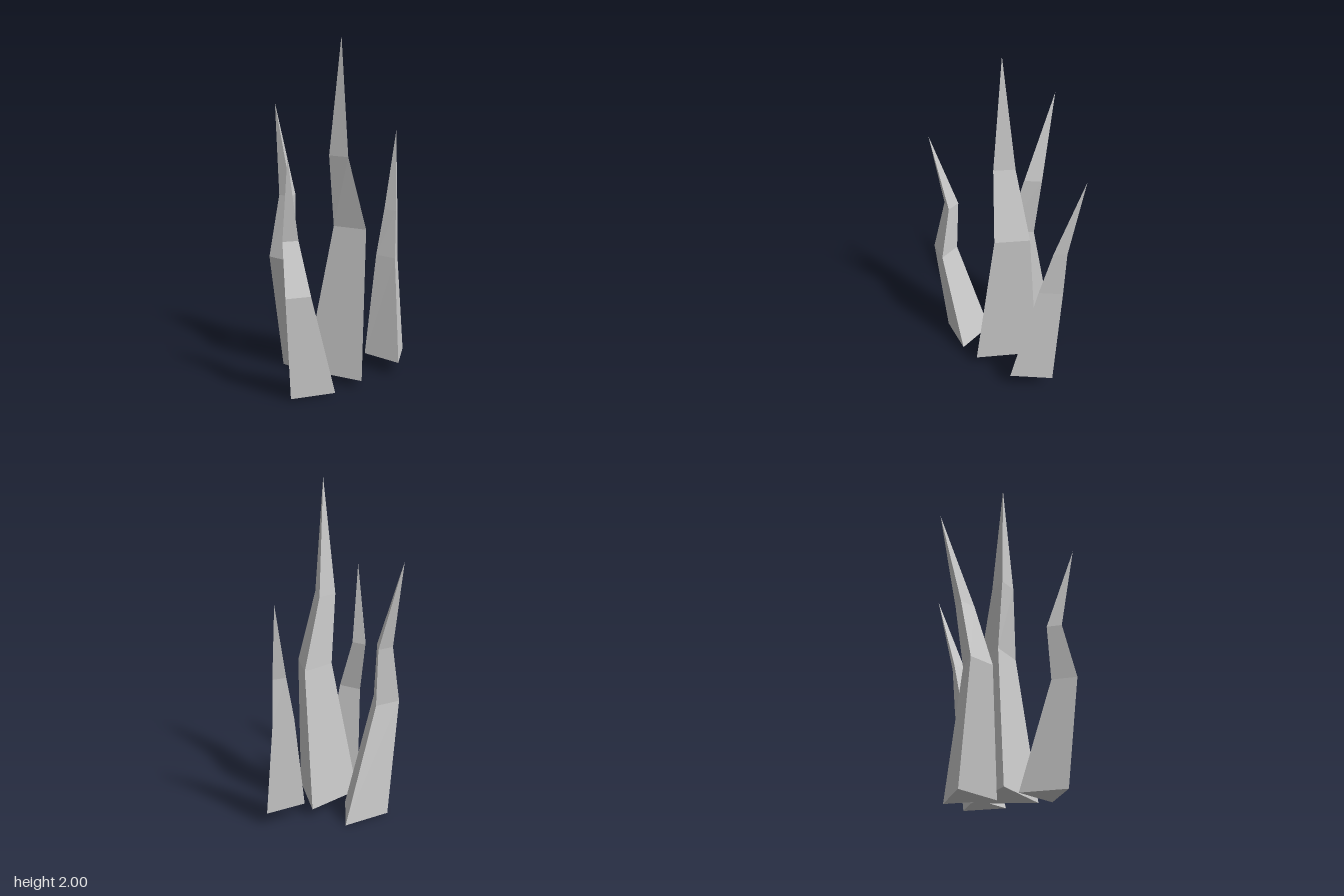
import * as THREE from 'three';

// Each shard: triangular rings (height, then [x, z] corners counter-clockwise from above) and a tip.
const SHARDS = [
  {
    name: 'centreShard',
    rings: [
      { y: 0.05, pts: [[-0.22, 0.01], [0.035, 0.275], [0.135, -0.08]] },
      { y: 0.915, pts: [[-0.05, 0.027], [0.095, 0.172], [0.152, -0.025]] },
      { y: 1.33, pts: [[-0.083, 0.045], [0, 0.135], [0.035, 0.015]] },
    ],
    tip: [-0.018, 2, 0.07],
  },
  {
    name: 'leftShard',
    rings: [
      { y: 0.085, pts: [[0.172, -0.05], [0.305, 0.165], [0.422, -0.057]] },
      { y: 0.68, pts: [[0.265, -0.113], [0.34, 0.003], [0.404, -0.12]] },
      { y: 0.95, pts: [[0.327, -0.145], [0.372, -0.07], [0.408, -0.137]] },
    ],
    tip: [0.432, 1.41, -0.23],
  },
  {
    name: 'backShard',
    rings: [
      { y: 0, pts: [[-0.285, -0.247], [-0.13, -0.003], [0.01, -0.262]] },
      { y: 0.7, pts: [[-0.373, -0.208], [-0.285, -0.065], [-0.213, -0.213]] },
      { y: 1.06, pts: [[-0.297, -0.248], [-0.245, -0.16], [-0.197, -0.255]] },
    ],
    tip: [-0.283, 1.59, -0.371],
  },
  {
    name: 'frontRightShard',
    rings: [
      { y: 0.01, pts: [[-0.395, 0.305], [-0.133, 0.3], [-0.263, 0.078]] },
      { y: 0.615, pts: [[-0.435, 0.36], [-0.29, 0.36], [-0.365, 0.237]] },
      { y: 0.915, pts: [[-0.427, 0.285], [-0.338, 0.29], [-0.385, 0.212]] },
    ],
    tip: [-0.417, 1.39, 0.368],
  },
];

// Skins the rings with quads, closes the base and gathers the top ring into the tip.
function shardGeometry({ rings, tip }) {
  const loops = rings.map(({ y, pts }) => pts.map(([x, z]) => [x, y, z]));
  const n = loops[0].length;
  const positions = [];
  const tri = (a, b, c) => positions.push(...a, ...b, ...c);

  tri(loops[0][0], loops[0][2], loops[0][1]);
  for (let i = 0; i < n; i++) {
    const j = (i + 1) % n;
    for (let k = 0; k < loops.length - 1; k++) {
      const lower = loops[k], upper = loops[k + 1];
      tri(lower[i], lower[j], upper[j]);
      tri(lower[i], upper[j], upper[i]);
    }
    const top = loops[loops.length - 1];
    tri(top[i], top[j], tip);
  }

  const geometry = new THREE.BufferGeometry();
  geometry.setAttribute('position', new THREE.Float32BufferAttribute(positions, 3));
  geometry.computeVertexNormals();
  return geometry;
}

export function createModel() {
  const group = new THREE.Group();
  group.name = 'shardCluster';
  const material = new THREE.MeshStandardMaterial({ color: 0xcccccc, flatShading: true });
  for (const shard of SHARDS) {
    const mesh = new THREE.Mesh(shardGeometry(shard), material);
    mesh.name = shard.name;
    group.add(mesh);
  }
  return group;
}
